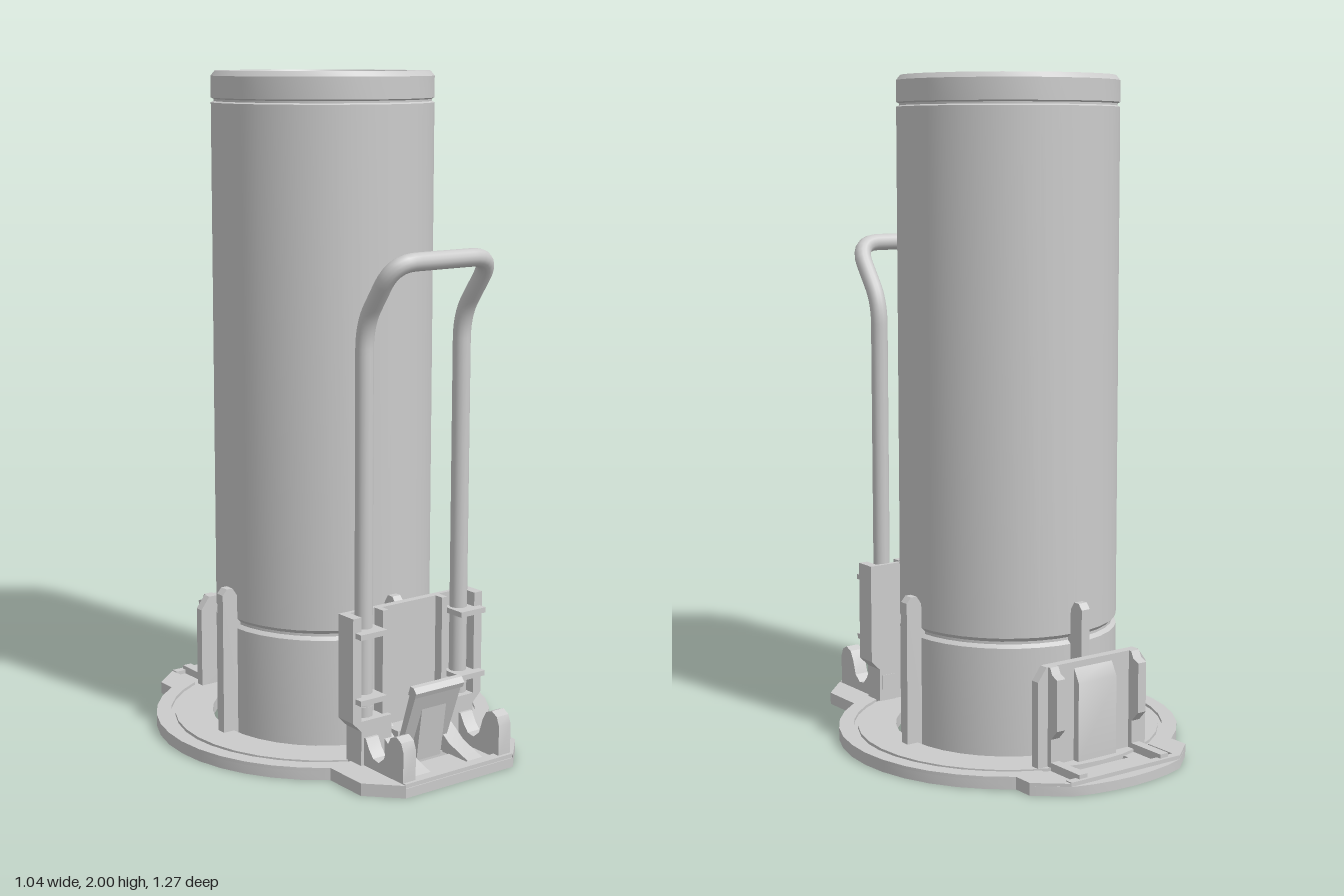
import * as THREE from 'three';
import { toCreasedNormals } from 'three/addons/utils/BufferGeometryUtils.js';

const CZ = -0.03; // axis of the canister
const material = new THREE.MeshStandardMaterial({ color: 0xcccccc });

export function createModel() {
  const model = new THREE.Group();

  const add = (name, geometry) => {
    const mesh = new THREE.Mesh(geometry, material);
    mesh.name = name;
    model.add(mesh);
    return mesh;
  };
  const box = (name, x0, x1, y0, y1, z0, z1) =>
    add(name, new THREE.BoxGeometry(x1 - x0, y1 - y0, z1 - z0)
      .translate((x0 + x1) / 2, (y0 + y1) / 2, (z0 + z1) / 2));
  const poly = (pts) => new THREE.Shape(pts.map(([a, b]) => new THREE.Vector2(a, b)));
  const extrude = (shape, depth) =>
    new THREE.ExtrudeGeometry(shape, { depth, bevelEnabled: false, curveSegments: 16 });
  // Plan shape (x, z) raised from y0 to y1
  const slab = (name, shape, y0, y1) =>
    add(name, toCreasedNormals(extrude(shape, y1 - y0).rotateX(Math.PI / 2).translate(0, y1, 0), 0.5));
  // Side profile (z, y) spanning x0 to x1
  const side = (name, pts, x0, x1) =>
    add(name, toCreasedNormals(extrude(poly(pts), x1 - x0).rotateY(-Math.PI / 2).translate(x1, 0, 0), 0.5));
  // Front profile (x, y) spanning z0 to z1
  const front = (name, pts, z0, z1) => add(name, extrude(poly(pts), z1 - z0).translate(0, 0, z0));
  const bothSides = (x0, x1, build) => {
    build(x0, x1);
    build(-x1, -x0);
  };
  const circle = (r) => {
    const pts = [];
    for (let i = 0; i < 36; i++) {
      const a = (i / 36) * Math.PI * 2;
      pts.push([r * Math.cos(a), CZ + r * Math.sin(a)]);
    }
    return poly(pts);
  };

  // Base plate outline: disc with a tab at the front and back
  const outline = () => {
    const pts = [];
    const arc = (r, a0, a1, n) => {
      for (let i = 0; i <= n; i++) {
        const a = a0 + ((a1 - a0) * i) / n;
        pts.push([r * Math.cos(a), CZ + r * Math.sin(a)]);
      }
    };
    const t = Math.acos(0.29 / 0.52), b = Math.acos(0.2 / 0.605);
    arc(0.52, -t, t, 12);
    pts.push([0.29, 0.545], [0.2, 0.635], [-0.2, 0.635], [-0.29, 0.545]);
    arc(0.52, Math.PI - t, Math.PI + t, 12);
    pts.push([-0.29, -0.525]);
    arc(0.605, Math.PI + b, Math.PI * 2 - b, 6);
    pts.push([0.29, -0.525]);
    return poly(pts);
  };
  const rect = (x, z0, z1) => poly([[-x, z0], [x, z0], [x, z1], [-x, z1]]);

  const base = outline();
  base.holes.push(circle(0.345), rect(0.09, 0.47, 0.5), rect(0.09, -0.5, -0.475));
  slab('basePlate', base, 0, 0.028);
  const innerRing = circle(0.462);
  innerRing.holes.push(circle(0.345));
  slab('raisedRing', innerRing, 0.028, 0.037);
  const rim = outline();
  rim.holes.push(circle(0.475));
  // The rim leaves the floors of both tabs lower
  const rimHalf = (s) => {
    const pts = [];
    const a = Math.acos(0.2 / 0.475);
    for (let i = 0; i <= 14; i++) {
      const q = -a + (2 * a * i) / 14;
      pts.push([s * 0.475 * Math.cos(q), CZ + 0.475 * Math.sin(q)]);
    }
    const t = Math.acos(0.29 / 0.52);
    pts.push([s * 0.2, 0.635], [s * 0.29, 0.545]);
    for (let i = 0; i <= 12; i++) {
      const q = t - (2 * t * i) / 12;
      pts.push([s * 0.52 * Math.cos(q), CZ + 0.52 * Math.sin(q)]);
    }
    pts.push([s * 0.29, -0.525], [s * 0.2, -0.6]);
    return poly(pts);
  };
  slab('leftRim', rimHalf(1), 0.028, 0.037);
  slab('rightRim', rimHalf(-1), 0.028, 0.037);

  // Canister with open foot, seam groove and lid
  const profile = [
    [0, 0.36], [0.318, 0.36], [0.318, 0.005], [0.33, 0.005], [0.33, 0.355], [0.318, 0.365],
    [0.318, 0.373], [0.33, 0.385], [0.33, 1.908], [0.322, 1.912], [0.322, 1.918], [0.33, 1.922],
    [0.33, 1.985], [0.318, 2], [0.25, 2], [0.246, 1.992], [0.24, 1.996], [0, 1.996],
  ].map(([r, y]) => new THREE.Vector2(r, y));
  add('canister', toCreasedNormals(new THREE.LatheGeometry(profile, 36).translate(0, 0, CZ), 0.5));

  // Four guide ribs round the canister
  for (let i = 0; i < 4; i++) {
    const rib = extrude(poly([[0.305, 0.01], [0.38, 0.01], [0.38, 0.465], [0.365, 0.482], [0.345, 0.482],
      [0.33, 0.46], [0.305, 0.36]]), 0.03).translate(0, 0, -0.015).rotateY((i * Math.PI) / 2).translate(0, 0, CZ);
    add('guideRib', rib);
  }

  // Front bracket: centre panel and a channel for each handle leg
  box('frontPanel', -0.11, 0.11, 0.03, 0.48, 0.372, 0.395);
  bothSides(0.1, 0.24, (a, b) => box('channelBack', a, b, 0.17, 0.48, 0.372, 0.386));
  bothSides(0.21, 0.24, (a, b) => box('channelOuterWall', a, b, 0.17, 0.48, 0.372, 0.442));
  bothSides(0.1, 0.12, (a, b) => box('channelInnerWall', a, b, 0.17, 0.48, 0.372, 0.425));
  for (const s of [1, -1]) {
    const pts = [[0.1, 0.03], [0.21, 0.03], [0.21, 0.14], [0.24, 0.17], [0.1, 0.17]].map(([x, y]) => [s * x, y]);
    front('channelFoot', pts, 0.372, 0.442);
    for (const y of [0.43, 0.235]) {
      box('handleClip', s * 0.185 - 0.047, s * 0.185 + 0.047, y - 0.008, y + 0.008, 0.38, 0.468);
    }
  }

  // Ears with rounded tops on the front tab
  const ear = [[0.37, 0.03], [0.622, 0.03], [0.622, 0.13], [0.612, 0.155], [0.59, 0.167], [0.565, 0.157],
    [0.55, 0.13], [0.535, 0.085], [0.51, 0.065], [0.485, 0.07], [0.467, 0.09], [0.45, 0.12], [0.37, 0.12]];
  bothSides(0.155, 0.2, (a, b) => side('frontEar', ear, a, b));
  bothSides(0.07, 0.125, (a, b) =>
    side('floorRamp', [[0.4, 0.025], [0.605, 0.025], [0.5, 0.06], [0.4, 0.13]], a, b));
  box('tabSill', -0.2, 0.2, 0.025, 0.04, 0.6, 0.632);

  // Latch pedal with an arched rib and a lip
  side('latchPedal', [[0.445, 0.06], [0.465, 0.06], [0.535, 0.25], [0.53, 0.27], [0.515, 0.27]], -0.085, 0.085);
  side('latchLip', [[0.505, 0.245], [0.535, 0.24], [0.542, 0.255], [0.53, 0.27], [0.515, 0.272]], -0.09, 0.09);
  side('latchRib', [[0.46, 0.03], [0.49, 0.03], [0.515, 0.2], [0.5, 0.235], [0.48, 0.2]], -0.045, 0.045);
  box('latchBase', -0.09, 0.09, 0.03, 0.12, 0.39, 0.46);

  // Bent tube handle
  const v = (x, y, z) => new THREE.Vector3(x, y, z);
  const L = 0.177;
  const path = new THREE.CurvePath();
  path.add(new THREE.LineCurve3(v(-L, 0.18, 0.408), v(-L, 1.24, 0.408)));
  path.add(new THREE.QuadraticBezierCurve3(v(-L, 1.24, 0.408), v(-L, 1.31, 0.408), v(-L, 1.36, 0.443)));
  path.add(new THREE.LineCurve3(v(-L, 1.36, 0.443), v(-L, 1.425, 0.489)));
  path.add(new THREE.QuadraticBezierCurve3(v(-L, 1.425, 0.489), v(-L, 1.49, 0.535), v(-0.1, 1.49, 0.535)));
  path.add(new THREE.LineCurve3(v(-0.1, 1.49, 0.535), v(0.1, 1.49, 0.535)));
  path.add(new THREE.QuadraticBezierCurve3(v(0.1, 1.49, 0.535), v(L, 1.49, 0.535), v(L, 1.425, 0.489)));
  path.add(new THREE.LineCurve3(v(L, 1.425, 0.489), v(L, 1.36, 0.443)));
  path.add(new THREE.QuadraticBezierCurve3(v(L, 1.36, 0.443), v(L, 1.31, 0.408), v(L, 1.24, 0.408)));
  path.add(new THREE.LineCurve3(v(L, 1.24, 0.408), v(L, 0.18, 0.408)));
  add('handle', new THREE.TubeGeometry(path, 160, 0.026, 14));
  for (const x of [-L, L]) {
    add('handleEnd', new THREE.CylinderGeometry(0.027, 0.027, 0.03, 14).translate(x, 0.19, 0.408));
  }

  // Rear bracket: panel, bulge, side fins and floor rails
  front('rearPanel', [[-0.2, 0.03], [0.2, 0.03], [0.2, 0.29], [0.17, 0.33], [-0.17, 0.33], [-0.2, 0.29]], -0.445, -0.417);
  side('rearBulge', [[-0.42, 0.03], [-0.42, 0.32], [-0.44, 0.32], [-0.467, 0.27], [-0.467, 0.03]].reverse(), -0.07, 0.07);
  bothSides(0.135, 0.165, (a, b) => {
    side('rearFin', [[-0.43, 0.03], [-0.43, 0.33], [-0.455, 0.33], [-0.465, 0.31], [-0.488, 0.3],
      [-0.488, 0.15], [-0.46, 0.12], [-0.46, 0.03]].reverse(), a, b);
    box('rearRail', a, b, 0.025, 0.052, -0.59, -0.445);
  });
  box('rearSill', -0.2, 0.2, 0.025, 0.04, -0.6, -0.575);

  return model;
}
